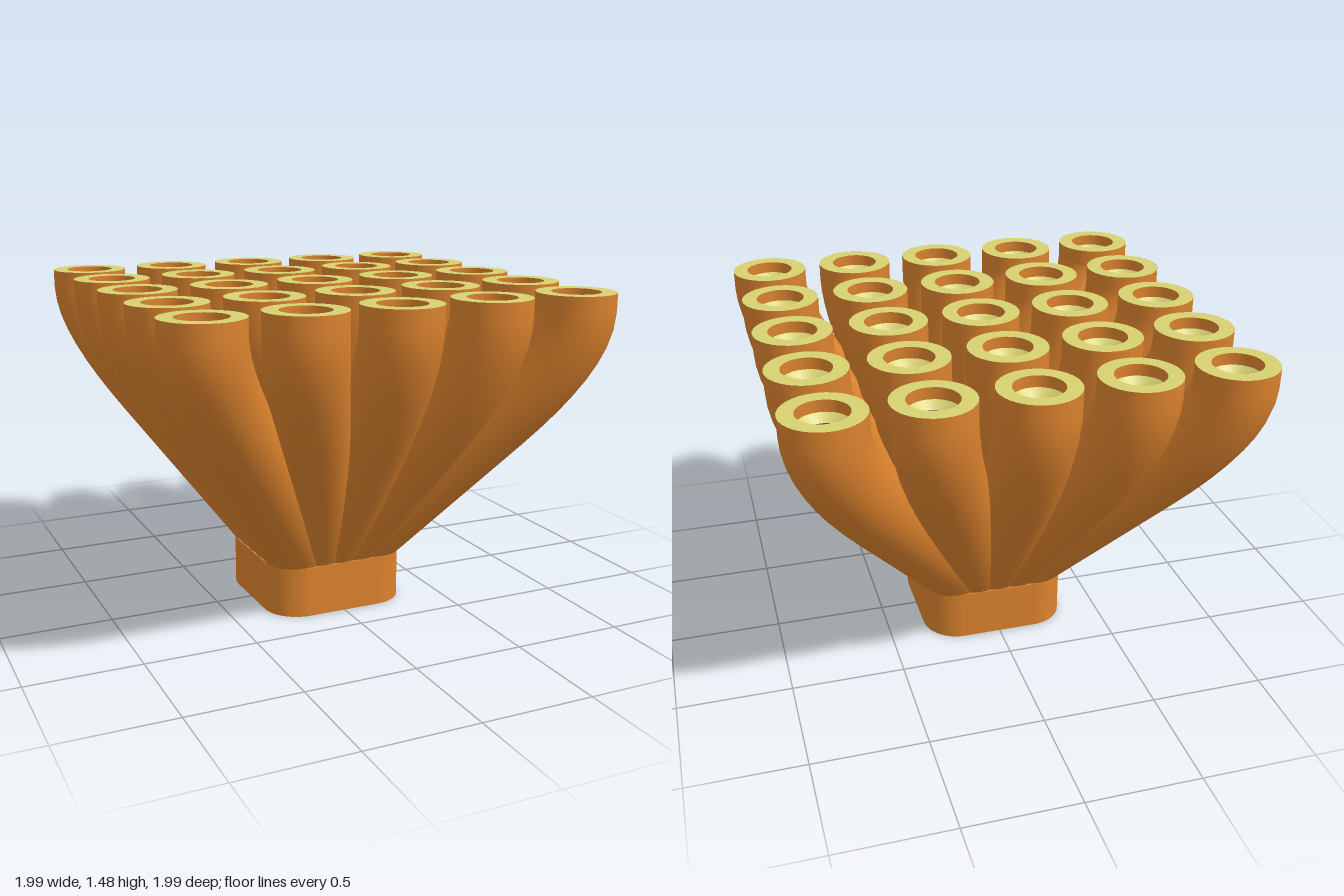
import * as THREE from 'three';

const TOP = 1.475, RADIUS = 0.17, COLLAR = 0.23, PITCH = 0.4125;

// Rounded square outline of half-width h and corner radius r
function roundedSquare(h, r, Kind = THREE.Shape) {
  const s = new Kind();
  const k = h - r;
  s.moveTo(h, -k);
  s.lineTo(h, k);
  s.absarc(k, k, r, 0, Math.PI / 2, false);
  s.absarc(-k, k, r, Math.PI / 2, Math.PI, false);
  s.absarc(-k, -k, r, Math.PI, Math.PI * 1.5, false);
  s.absarc(k, -k, r, Math.PI * 1.5, Math.PI * 2, false);
  return s;
}

// Shared rise of every tube: spread (0..1) against height
function risePath() {
  const path = new THREE.CurvePath();
  const V = (f, y) => new THREE.Vector2(f, y);
  const pts = [V(0.145, COLLAR)];
  for (let i = 0; i <= 4; i++) {
    const y = 0.43 + i * 0.12;
    pts.push(V(0.145 + (y - COLLAR) * 0.85, y));
  }
  const bend = new THREE.QuadraticBezierCurve(V(0.723, 0.91), V(1, 1.236), V(1, 1.4));
  pts.push(...bend.getPoints(8).slice(1), V(1, TOP));
  return pts;
}

// Round tube swept along the rise path towards grid position (gx, gz)
function tubeGeometry(gx, gz) {
  const path = risePath(), sides = 32, pos = [], idx = [];
  const reach = Math.hypot(gx, gz);
  const hx = reach ? gx / reach : 1, hz = reach ? gz / reach : 0;
  path.forEach((p, i) => {
    const a = path[Math.max(i - 1, 0)], b = path[Math.min(i + 1, path.length - 1)];
    let lean = Math.atan2((b.x - a.x) * reach, b.y - a.y);
    if (i === path.length - 1) lean = 0;
    const c = Math.cos(lean), s = Math.sin(lean);
    for (let j = 0; j < sides; j++) {
      const t = (j / sides) * Math.PI * 2;
      // the lowest ring is cut level with the collar
      const across = RADIUS * Math.cos(t) * (i === 0 ? 1 / c : c);
      const drop = i === 0 ? 0 : -RADIUS * Math.cos(t) * s;
      const side = RADIUS * Math.sin(t);
      pos.push(gx * p.x + hx * across - hz * side, p.y + drop, gz * p.x + hz * across + hx * side);
      if (i < path.length - 1) {
        const k = i * sides + j, n = i * sides + (j + 1) % sides;
        idx.push(k, k + sides, n, n, k + sides, n + sides);
      }
    }
  });
  const g = new THREE.BufferGeometry();
  g.setAttribute('position', new THREE.Float32BufferAttribute(pos, 3));
  g.setIndex(idx);
  g.computeVertexNormals();
  return g;
}

export function createModel() {
  const mat = (name, color) => {
    const m = new THREE.MeshStandardMaterial({ color, side: THREE.DoubleSide });
    m.name = name;
    return m;
  };
  const orange = mat('orange', 0xdb822d);
  const khaki = mat('khaki', 0xd6d072);
  const grey = mat('dark grey', 0x4a4a4c);

  const model = new THREE.Group();
  model.name = 'tubeCluster';
  const add = (parent, name, geometry, material, y = 0) => {
    const m = new THREE.Mesh(geometry, material);
    m.name = name;
    m.position.y = y;
    parent.add(m);
    return m;
  };
  const ring = (inner, outer) => new THREE.RingGeometry(inner, outer, 32).rotateX(-Math.PI / 2);
  const wall = (top, bottom, h) => new THREE.CylinderGeometry(top, bottom, h, 32, 1, true);

  // Mouth parts shared by all tubes
  const rim = ring(0.105, RADIUS);
  const recess = wall(0.105, 0.105, 0.05);
  const seat = wall(0.105, 0.07, 0.03);
  const liner = ring(0.048, 0.07);
  const linerWall = wall(0.048, 0.048, 0.04);
  const plug = new THREE.CircleGeometry(0.048, 24).rotateX(-Math.PI / 2);

  // Five by five fan of tubes
  for (let i = -2; i <= 2; i++) {
    for (let k = -2; k <= 2; k++) {
      const gx = i * PITCH, gz = k * PITCH;
      add(model, 'tube', tubeGeometry(gx, gz), orange);
      const mouth = new THREE.Group();
      mouth.name = 'tubeMouth';
      mouth.position.set(gx, TOP, gz);
      add(mouth, 'rim', rim, khaki);
      add(mouth, 'recessWall', recess, orange, -0.025);
      add(mouth, 'seat', seat, khaki, -0.065);
      add(mouth, 'liner', liner, grey, -0.08);
      add(mouth, 'linerWall', linerWall, grey, -0.1);
      add(mouth, 'plug', plug, orange, -0.12);
      model.add(mouth);
    }
  }

  // Collar: thin rounded-square wall, open below, closed above
  const outline = roundedSquare(0.33, 0.16);
  outline.holes.push(roundedSquare(0.315, 0.145, THREE.Path));
  const flat = { bevelEnabled: false, curveSegments: 12 };
  add(model, 'collar', new THREE.ExtrudeGeometry(outline, { ...flat, depth: COLLAR }).rotateX(-Math.PI / 2), orange);
  add(model, 'collarTop', new THREE.ShapeGeometry(roundedSquare(0.33, 0.16), 12).rotateX(-Math.PI / 2), orange, COLLAR);

  // Inside of the collar: floor plate, central socket and slots around it
  const plate = roundedSquare(0.32, 0.15);
  const bore = new THREE.Path();
  bore.absarc(0, 0, 0.1, 0, Math.PI * 2, true);
  plate.holes.push(bore);
  add(model, 'innerPlate', new THREE.ShapeGeometry(plate, 12).rotateX(Math.PI / 2), orange, 0.07);
  add(model, 'socketEnd', ring(0.105, RADIUS), orange, 0.025);
  add(model, 'socketWall', wall(RADIUS, RADIUS, 0.045), orange, 0.0475);
  add(model, 'socketBore', wall(0.105, 0.105, 0.12), grey, 0.085);
  add(model, 'socketFloor', new THREE.CircleGeometry(0.105, 32).rotateX(Math.PI / 2), grey, 0.145);
  for (let i = 0; i < 8; i++) {
    const a = (i / 8) * Math.PI * 2;
    const slot = add(model, 'innerSlot', new THREE.BoxGeometry(0.03, 0.04, 0.1), grey, 0.055);
    slot.position.x = Math.cos(a) * 0.245;
    slot.position.z = Math.sin(a) * 0.245;
    slot.rotation.y = -a;
  }
  return model;
}
